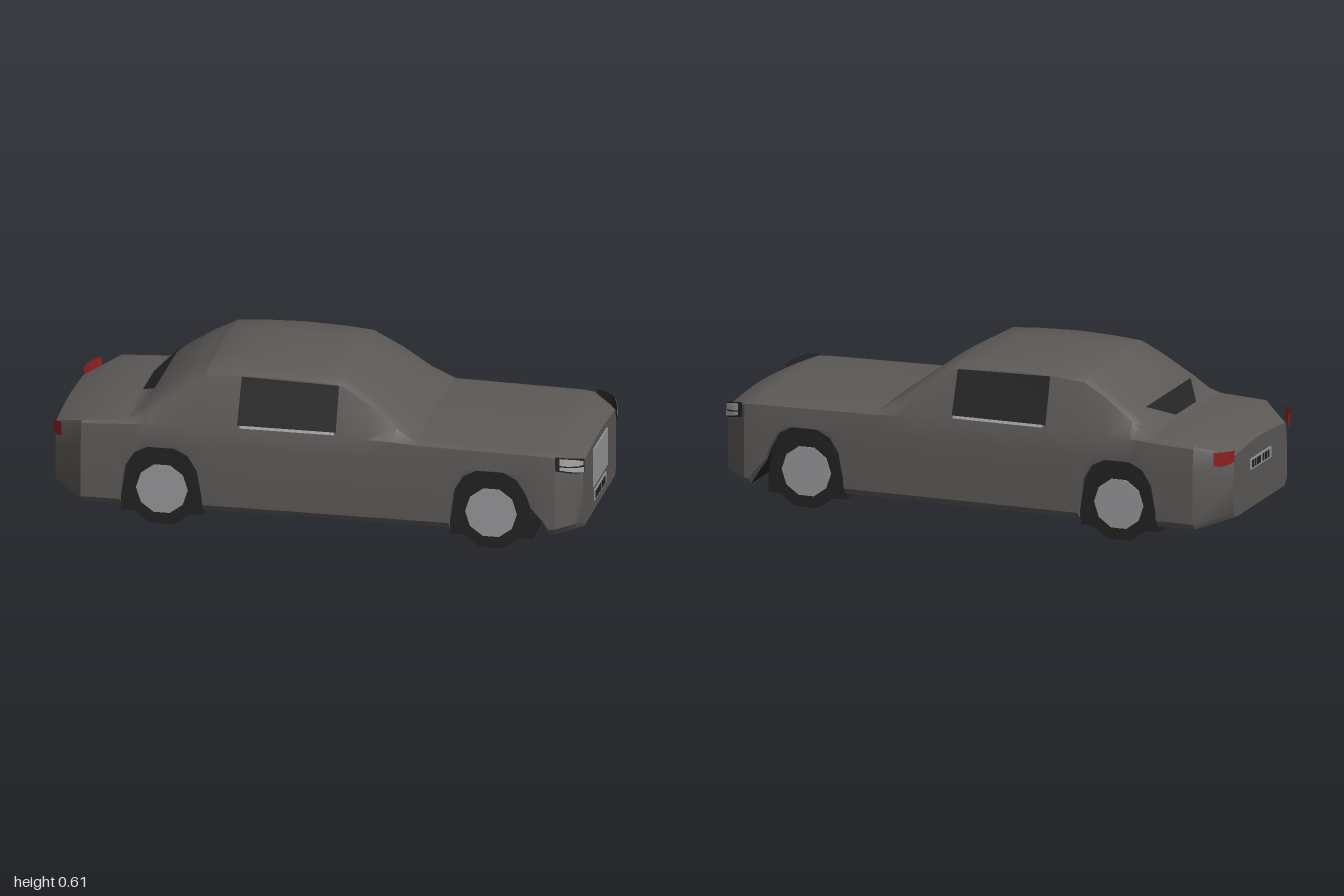
import * as THREE from 'three';
import { toCreasedNormals } from 'three/addons/utils/BufferGeometryUtils.js';

const mat = (name, color, side = THREE.FrontSide) => {
  const m = new THREE.MeshStandardMaterial({ color, side });
  m.name = name;
  return m;
};

// Body stations along the length: x, half width, shoulder y, roof half width, roof edge y
const STATIONS = [
  [-0.993, 0.265, 0.325, 0.25, 0.34], [-0.875, 0.372, 0.375, 0.355, 0.388],
  [-0.7, 0.373, 0.385, 0.35, 0.4], [-0.66, 0.373, 0.388, 0.335, 0.425],
  [-0.62, 0.373, 0.39, 0.325, 0.465], [-0.5, 0.373, 0.39, 0.305, 0.545],
  [-0.42, 0.373, 0.39, 0.297, 0.588], [-0.3, 0.373, 0.39, 0.295, 0.598],
  [-0.17, 0.373, 0.39, 0.295, 0.602], [0, 0.373, 0.39, 0.295, 0.596],
  [0.09, 0.373, 0.39, 0.295, 0.588], [0.2, 0.373, 0.39, 0.31, 0.525],
  [0.3, 0.373, 0.388, 0.33, 0.45], [0.38, 0.373, 0.382, 0.35, 0.393],
  [0.86, 0.373, 0.375, 0.355, 0.382], [0.9, 0.37, 0.37, 0.35, 0.378],
  [0.97, 0.315, 0.345, 0.3, 0.352], [0.993, 0.292, 0.332, 0.278, 0.341],
];

// Wheel arch outline, relative to the axle
const ARCH = [[-0.153, 0.1], [-0.135, 0.22], [-0.1, 0.275], [-0.05, 0.3],
  [0.05, 0.3], [0.1, 0.275], [0.135, 0.22], [0.153, 0.1]];
const AXLES = [-0.575, 0.66];

// Lower edge of the body, stepping up over each wheel
const LOWER = [[-0.993, 0.1], [-0.875, 0.067], [-0.73, 0.067],
  ...ARCH.map(([x, y]) => [x + AXLES[0], y]), [-0.42, 0.067], [0.505, 0.067],
  ...ARCH.slice(0, 7).map(([x, y]) => [x + AXLES[1], y]), [0.813, 0.17],
  [0.88, 0.067], [0.993, 0.082]];

// Linear interpolation in a table sorted by its first column
function sample(table, x) {
  let i = 0;
  while (i < table.length - 2 && x > table[i + 1][0]) i++;
  const a = table[i], b = table[i + 1];
  const t = (x - a[0]) / (b[0] - a[0]);
  return a.map((v, k) => v + (b[k] - v) * t);
}

// Cross-section from the left sill over the roof to the right sill, as [y, z]
function section(x) {
  const [, w, sh, zr, yr] = sample(STATIONS, x);
  const yb = sample(LOWER, x)[1];
  const drop = Math.min(0.02, (yr - sh) * 0.3);
  const chamfer = yb > 0.101 ? 0.004 : 0.025;
  const half = [[yb, w - 0.022], [yb + chamfer, w], [Math.max(sh - 0.08, yb + 0.006), w + 0.001],
    [sh, w - 0.008], [yr - drop, zr], [yr, zr - 0.033], [yr + 0.008, zr * 0.45]];
  return [...half, [yr + 0.012, 0], ...half.map(([y, z]) => [y, -z]).reverse()];
}

// Skin through a list of [x, points] rings, optionally closing both ends
function loft(rings, caps) {
  const n = rings[0][1].length, pos = [], idx = [];
  rings.forEach(([x, ring]) => ring.forEach(([y, z]) => pos.push(x, y, z)));
  for (let i = 0; i < rings.length - 1; i++) {
    for (let j = 0; j < n - 1; j++) {
      const a = i * n + j, b = a + n;
      idx.push(a, b, b + 1, a, b + 1, a + 1);
    }
  }
  if (caps) {
    const e = (rings.length - 1) * n;
    for (let j = 1; j < n - 1; j++) idx.push(0, j, j + 1, e, e + j + 1, e + j);
  }
  const g = new THREE.BufferGeometry();
  g.setAttribute('position', new THREE.Float32BufferAttribute(pos, 3));
  g.setIndex(idx);
  return toCreasedNormals(g, 0.55);
}

// Thin upright strip through points [x, z, bottom y, top y]
function ribbon(points) {
  const pos = [], idx = [];
  points.forEach(([x, z, y0, y1], i) => {
    pos.push(x, y0, z, x, y1, z);
    if (i) {
      const a = 2 * i - 2;
      idx.push(a, a + 2, a + 3, a, a + 3, a + 1);
    }
  });
  const g = new THREE.BufferGeometry();
  g.setAttribute('position', new THREE.Float32BufferAttribute(pos, 3));
  g.setIndex(idx);
  g.computeVertexNormals();
  return g;
}

// Flat four-cornered pane
function pane(a, b, c, d) {
  const g = new THREE.BufferGeometry();
  g.setAttribute('position', new THREE.Float32BufferAttribute([...a, ...b, ...c, ...d], 3));
  g.setIndex([0, 1, 2, 0, 2, 3]);
  g.computeVertexNormals();
  return g;
}

export function createModel() {
  const car = new THREE.Group();
  car.name = 'car';
  const paint = mat('body grey', 0x5c5957);
  const black = mat('black', 0x222222);
  const glass = mat('dark glass', 0x242424, THREE.DoubleSide);
  const silver = mat('silver', 0x98989a);
  const lens = mat('lamp lens', 0xa8a8aa, THREE.DoubleSide);
  const red = mat('tail lamp red', 0x8c2020, THREE.DoubleSide);

  const add = (name, geo, material, parent = car) => {
    const m = new THREE.Mesh(geo, material);
    m.name = name;
    parent.add(m);
    return m;
  };
  const box = (name, w, h, d, x, y, z, material) =>
    add(name, new THREE.BoxGeometry(w, h, d), material).position.set(x, y, z);

  // Body shell and underside
  const xs = [...new Set([...STATIONS, ...LOWER].map((r) => +r[0].toFixed(4)))].sort((a, b) => a - b);
  const rings = xs.map((x) => [x, section(x)]);
  add('bodyShell', loft(rings, true), paint);
  add('underbody', loft(rings.map(([x, r]) => [x, [r[r.length - 1], r[0]]]), false), black);

  // Wheel housings spanning the full width
  AXLES.forEach((ax) => {
    const shape = new THREE.Shape([[-0.153, 0.042], ...ARCH, [0.153, 0.042]]
      .map(([x, y]) => new THREE.Vector2(x + ax, y)));
    const g = new THREE.ExtrudeGeometry(shape, { depth: 0.69, bevelEnabled: false });
    add('wheelHousing', g.translate(0, 0, -0.345), black);
  });

  // Parts present on both sides
  [1, -1].forEach((s) => {
    const side = new THREE.Group();
    side.name = s > 0 ? 'leftSide' : 'rightSide';
    side.scale.z = s;
    car.add(side);

    AXLES.forEach((ax) => {
      const disc = (r, w) => new THREE.CylinderGeometry(r, r, w, 10)
        .rotateY(Math.PI / 10).rotateX(Math.PI / 2);
      const tyre = toCreasedNormals(disc(0.142, 0.08), 0.3);
      add('tyre', tyre, black, side).position.set(ax, 0.135, 0.31);
      add('hubcap', disc(0.097, 0.01), silver, side).position.set(ax, 0.137, 0.349);
    });

    // Side window with its bright lower trim
    add('sideWindow', pane([-0.29, 0.41, 0.366], [0.08, 0.41, 0.366],
      [0.08, 0.572, 0.305], [-0.285, 0.58, 0.304]), glass, side);
    add('windowTrim', pane([-0.28, 0.401, 0.37], [0.075, 0.401, 0.37],
      [0.075, 0.411, 0.367], [-0.28, 0.411, 0.367]), lens, side);

    // Headlamp wrapped around the front corner
    add('headlampSurround', ribbon([[0.905, 0.374, 0.325, 0.38], [0.95, 0.36, 0.316, 0.374],
      [0.98, 0.332, 0.307, 0.366], [0.997, 0.288, 0.298, 0.352]]), glass, side);
    add('headlampUpperLens', ribbon([[0.922, 0.373, 0.347, 0.374], [0.953, 0.362, 0.342, 0.37],
      [0.983, 0.334, 0.336, 0.36], [0.997, 0.3, 0.332, 0.345]]), lens, side);
    add('headlampLowerLens', ribbon([[0.922, 0.373, 0.329, 0.342], [0.953, 0.362, 0.322, 0.337],
      [0.983, 0.334, 0.312, 0.331], [0.998, 0.304, 0.304, 0.325]]), lens, side);

    // Tail lamp wrapped around the rear corner
    add('tailLamp', ribbon([[-0.998, 0.265, 0.318, 0.36], [-0.99, 0.305, 0.314, 0.365],
      [-0.973, 0.335, 0.312, 0.367], [-0.95, 0.355, 0.318, 0.369]]), red, side);
  });

  // Rear window
  add('rearWindow', pane([-0.7, 0.425, 0.1], [-0.63, 0.478, 0.22],
    [-0.63, 0.478, -0.22], [-0.7, 0.425, -0.1]), glass);

  // Grille and number plates with plain dark bars
  box('grille', 0.008, 0.145, 0.242, 0.994, 0.2525, 0, silver);
  [[1, 0.14], [-1, 0.265]].forEach(([end, y]) => {
    box('numberPlate', 0.006, 0.042, 0.2, end * 0.994, y, 0, silver);
    [0.081, 0.058, 0.035, 0.012, -0.022, -0.045, -0.068].forEach((z) =>
      box('plateBar', 0.004, 0.028, 0.015, end * 0.997, y, z * end, black));
  });
  return car;
}
